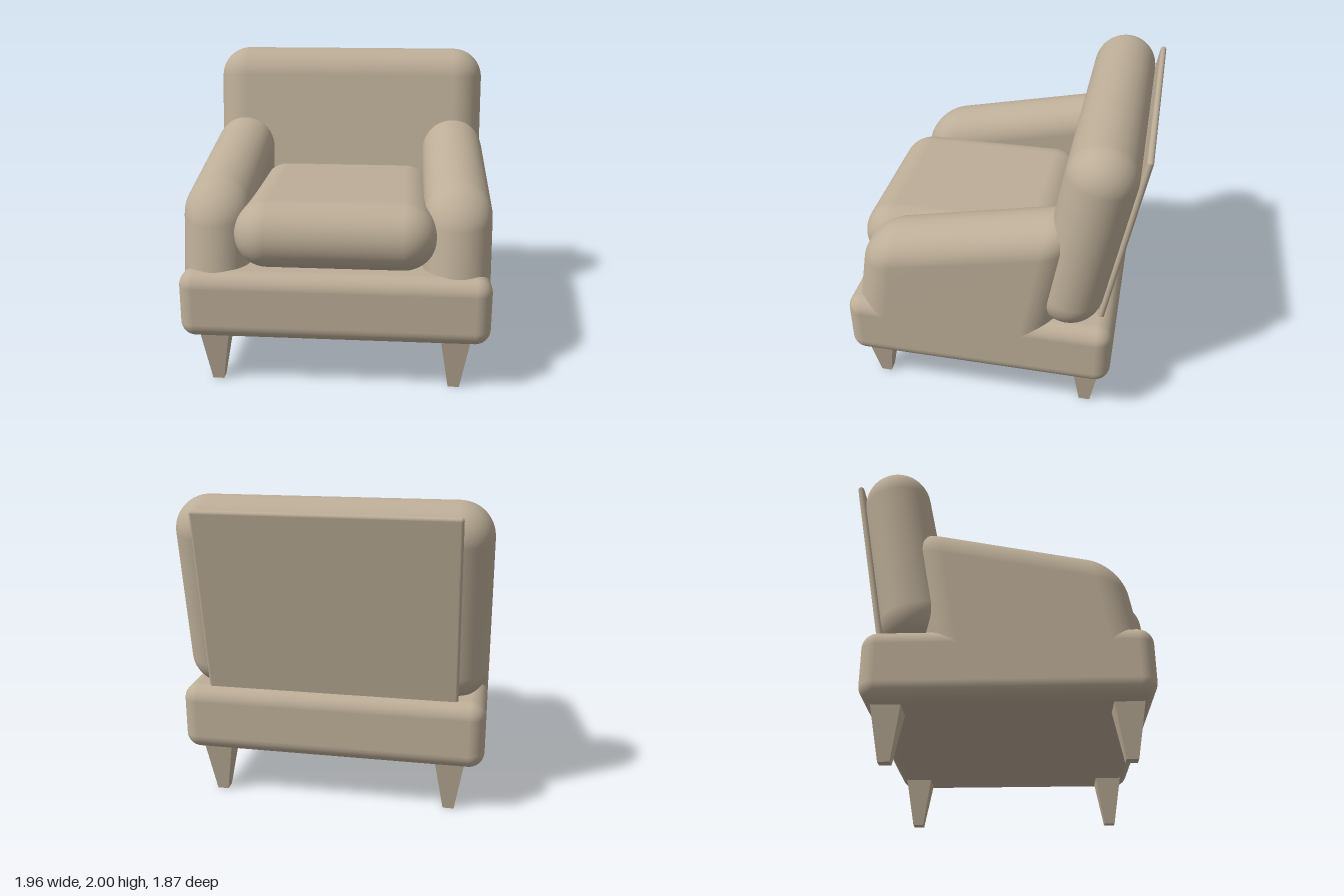
import * as THREE from 'three';
import { RoundedBoxGeometry } from 'three/addons/geometries/RoundedBoxGeometry.js';
import { mergeVertices } from 'three/addons/utils/BufferGeometryUtils.js';

const fabric = new THREE.MeshStandardMaterial({ color: 0xbcad97 });
const wood = new THREE.MeshStandardMaterial({ color: 0xbcad97, flatShading: true });
const TILT = THREE.MathUtils.degToRad(10);

function part(name, geometry, x, y, z, material = fabric) {
  const mesh = new THREE.Mesh(geometry, material);
  mesh.name = name;
  mesh.position.set(x, y, z);
  return mesh;
}

// Armrest: soft box with a raked front and back and a top that falls towards the front
function armGeometry() {
  const soft = new RoundedBoxGeometry(0.43, 1.066, 1.327, 10, 0.2145);
  soft.deleteAttribute('normal');
  soft.deleteAttribute('uv');
  soft.clearGroups();
  const g = mergeVertices(soft, 1e-5);
  const p = g.attributes.position;
  for (let i = 0; i < p.count; i++) {
    const z = p.getZ(i);
    let y = p.getY(i);
    if (y > 0) y -= 0.22 * z;
    y += 0.873;
    p.setY(i, y);
    p.setZ(i, z + 0.213 - Math.tan(TILT) * (y - 0.77));
  }
  g.computeVertexNormals();
  return g;
}

export function createModel() {
  const chair = new THREE.Group();
  chair.name = 'armchair';

  // Upholstered base and seat cushion
  chair.add(part('base', new RoundedBoxGeometry(1.96, 0.44, 1.74, 8, 0.1), 0, 0.55, 0.07));
  chair.add(part('seatCushion', new RoundedBoxGeometry(1.28, 0.43, 1.36, 10, 0.2145), 0, 0.985, 0.26));

  // Leaning back cushion
  const back = part('backCushion', new RoundedBoxGeometry(1.96, 1.288, 0.43, 10, 0.2145), 0, 1.3625, -0.58);
  back.rotation.x = -TILT;
  chair.add(back);

  // Thin panel behind the cushion, sunk into the base
  const panel = part('backPanel', new RoundedBoxGeometry(1.61, 1.38, 0.04, 4, 0.0195), 0, 1.26, -0.797);
  panel.rotation.x = -TILT;
  chair.add(panel);

  // Armrests and tapered square legs
  const arm = armGeometry();
  const leg = new THREE.CylinderGeometry(0.129, 0.051, 0.34, 4);
  leg.rotateY(Math.PI / 4);
  for (const [side, s] of [['left', 1], ['right', -1]]) {
    chair.add(part(side + 'Arm', arm, s * 0.765, 0, 0));
    chair.add(part(side + 'FrontLeg', leg, s * 0.765, 0.17, 0.778, wood));
    chair.add(part(side + 'BackLeg', leg, s * 0.765, 0.17, -0.642, wood));
  }
  return chair;
}
